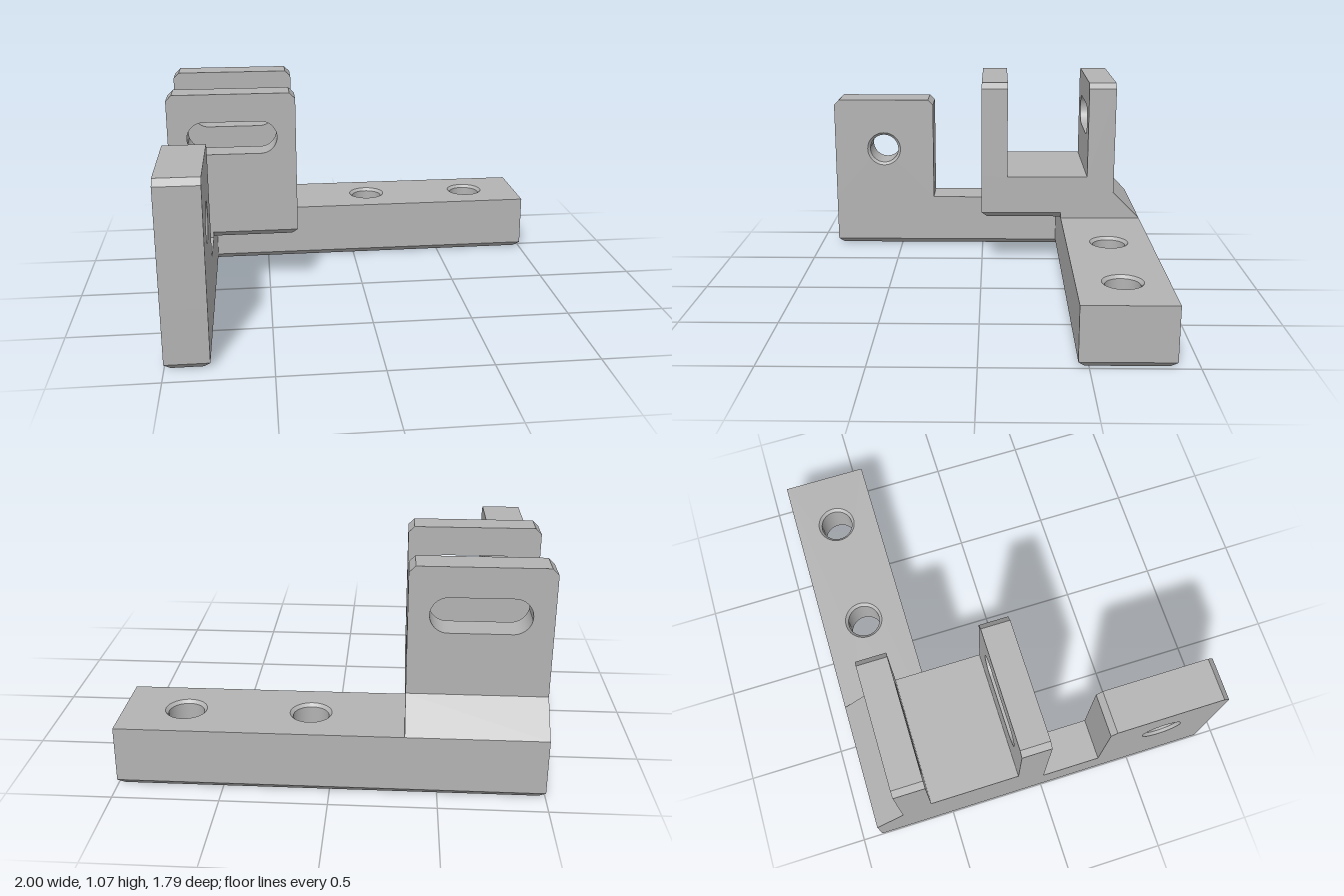
import * as THREE from 'three';
import { mergeGeometries } from 'three/addons/utils/BufferGeometryUtils.js';

const grey = new THREE.MeshStandardMaterial({ color: 0xb3b3b3 });
grey.name = 'plain grey';

const XMIN = -1, XMAX = 1, ARM = -0.79, BLOCK = -0.345, ZMAX = 0.895;
const BASE = 0.3, C = 0.03;

const toShape = (pts) => new THREE.Shape(pts.map(([x, y]) => new THREE.Vector2(x, y)));

// Moves a right-angled counter-clockwise outline inwards by d.
function inset(pts, d) {
  const n = pts.length;
  const normal = (a, b) => [-Math.sign(b[1] - a[1]) * d, Math.sign(b[0] - a[0]) * d];
  return pts.map((p, i) => {
    const a = normal(pts[(i + n - 1) % n], p), b = normal(p, pts[(i + 1) % n]);
    return [p[0] + a[0] + b[0], p[1] + a[1] + b[1]];
  });
}

// Flat cap with round openings; the lower cap is mirrored and turned over.
function cap(pts, holes, radiusOf, z, under) {
  const s = under ? -1 : 1;
  const shape = toShape(pts.map(([x, y]) => [s * x, y]));
  for (const [x, y] of holes) {
    shape.holes.push(new THREE.Path().absarc(s * x, y, radiusOf, 0, Math.PI * 2, true));
  }
  const g = new THREE.ShapeGeometry(shape, 24);
  if (under) g.rotateY(Math.PI);
  return g.translate(0, 0, z);
}

// Prism along +z with a chamfered lower rim and turned bores.
// The bore profile is [radius, z], listed from the upper face down.
function solid(pts, depth, chamfer = 0, holes = [], bore = []) {
  const low = chamfer ? inset(pts, chamfer) : pts;
  const rings = chamfer ? [[low, 0], [pts, chamfer]] : [[pts, 0]];
  if (depth > chamfer) rings.push([pts, depth]);
  const pos = [];
  for (let k = 0; k + 1 < rings.length; k++) {
    const [[p, z0], [q, z1]] = [rings[k], rings[k + 1]];
    for (let i = 0; i < pts.length; i++) {
      const j = (i + 1) % pts.length;
      const a = [...p[i], z0], b = [...p[j], z0], c = [...q[j], z1], d = [...q[i], z1];
      pos.push(...a, ...b, ...c, ...a, ...c, ...d);
    }
  }
  const sides = new THREE.BufferGeometry();
  sides.setAttribute('position', new THREE.Float32BufferAttribute(pos, 3));
  sides.computeVertexNormals();
  const parts = [sides,
    cap(pts, holes, bore.length ? bore[0][0] : 0, depth, false),
    cap(low, holes, bore.length ? bore[bore.length - 1][0] : 0, 0, true)];
  for (const [x, y] of holes) {
    for (let i = 0; i + 1 < bore.length; i++) {
      const line = [bore[i], bore[i + 1]].map(([r, z]) => new THREE.Vector2(r, z));
      parts.push(new THREE.LatheGeometry(line, 48).rotateX(Math.PI / 2).translate(x, y, 0));
    }
  }
  return mergeGeometries(parts.map((g) => {
    const flat = g.index ? g.toNonIndexed() : g;
    flat.deleteAttribute('uv');
    return flat;
  }));
}

export function createModel() {
  const model = new THREE.Group();
  model.name = 'mountingBracket';
  const add = (name, geometry) => {
    const mesh = new THREE.Mesh(geometry, grey);
    mesh.name = name;
    model.add(mesh);
  };

  // L-shaped base with a chamfered underside and two counterbored screw holes
  const plan = [[XMIN, -ZMAX], [ARM, -ZMAX], [ARM, 0.45], [XMAX, 0.45], [XMAX, ZMAX], [XMIN, ZMAX]];
  const screwBore = [[0.1, BASE], [0.085, BASE - 0.015], [0.085, 0.1], [0.14, 0.1], [0.14, 0.015], [0.155, 0]];
  add('base', solid(plan, BASE, C, [[0.1, 0.675], [0.7, 0.675]], screwBore).rotateX(-Math.PI / 2));

  // Upright plate at the end of the arm, with a hole chamfered on both sides
  const w = ARM - XMIN;
  const upright = [[-ZMAX, BASE], [-0.3, BASE], [-0.3, 0.9 - C], [-0.3 - C, 0.9], [-ZMAX + C, 0.9], [-ZMAX, 0.9 - C]];
  const plateBore = [[0.1, w], [0.085, w - 0.015], [0.085, 0.015], [0.1, 0]];
  add('endPlate', solid(upright, w, 0, [[-0.6, 0.6]], plateBore)
    .rotateY(Math.PI / 2).translate(XMIN, 0, 0));

  // Floor of the clevis, with the sloping web behind it
  const floor = [[0, 0.33], [0.45, 0.33], [0.45, BASE], [ZMAX, BASE], [0.745, 0.45], [0.745, 0.54], [0, 0.54]];
  add('clevisFloor', solid(floor, BLOCK - XMIN).rotateY(Math.PI / 2).translate(XMIN, 0, 0));

  // Chamfered underside of the overhang, and the strip joining it to the arm
  const under = [[-0.85, 0], [BLOCK, 0], [BLOCK, 0.5], [-0.85, 0.5]];
  add('overhangChamfer', solid(under, C, C).rotateX(-Math.PI / 2).translate(0, BASE, 0));
  add('armJoint', new THREE.BoxGeometry(w, C, 0.45).translate((XMIN + ARM) / 2, BASE + C / 2, -0.225));

  // Two matching slotted walls
  const top = 1.07, mid = (XMIN + BLOCK) / 2;
  const wall = toShape([[XMIN, 0.54], [BLOCK, 0.54], [BLOCK, top - C], [BLOCK - C, top], [XMIN + C, top], [XMIN, top - C]]);
  const slot = new THREE.Path();
  slot.absarc(mid + 0.145, 0.84, 0.085, -Math.PI / 2, Math.PI / 2, false);
  slot.absarc(mid - 0.145, 0.84, 0.085, Math.PI / 2, Math.PI * 1.5, false);
  slot.closePath();
  wall.holes.push(slot);
  for (const [name, z] of [['frontSlottedWall', -0.145], ['rearSlottedWall', -0.745]]) {
    const g = new THREE.ExtrudeGeometry(wall, { depth: z < -0.5 ? 0.15 : 0.145, bevelEnabled: false, curveSegments: 20 });
    add(name, g.translate(0, 0, z));
  }

  return model;
}
